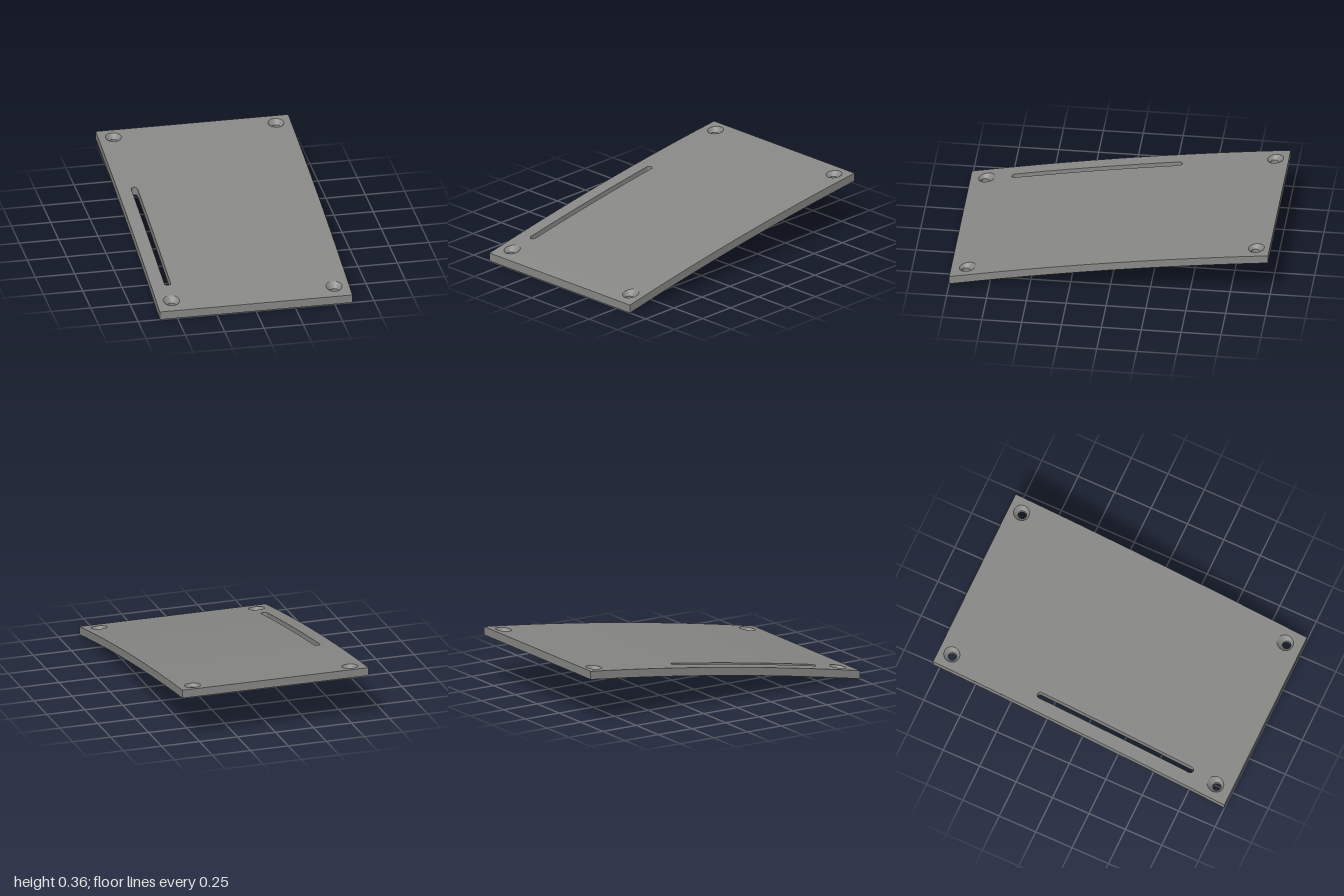
import * as THREE from 'three';
import { mergeGeometries } from 'three/addons/utils/BufferGeometryUtils.js';

const W = 0.612, T = 0.053;                       // half width, thickness
const HX = 0.517, HZ = [-0.91, 0.905];            // screw hole centres
const RIM = 0.05, BORE = 0.026;                   // countersink and bore radii
const SX = -0.506, SR = 0.02, S0 = -0.312, S1 = 0.717; // slot centre line, radius, ends

// Gently arched profile along z
const low = (z) => 0.175 - 0.1515 * z - 0.0235 * z * z;
const high = (z) => low(z) + T;
const slope = (z) => -0.1515 - 0.047 * z;

const V2 = (x, z) => new THREE.Vector2(x, z);
const onLow = (p) => new THREE.Vector3(p.x, low(p.y), p.y);
const onHigh = (p) => new THREE.Vector3(p.x, high(p.y), p.y);

// Points on an arc in the x-z plane; radius may depend on the angle
function arc(cx, cz, radius, a0, a1, n) {
  return Array.from({ length: n + 1 }, (_, i) => {
    const a = a0 + (a1 - a0) * i / n;
    const r = typeof radius === 'function' ? radius(a) : radius;
    return V2(cx + r * Math.cos(a), cz + r * Math.sin(a));
  });
}

function range(a, b, n) {
  return Array.from({ length: n + 1 }, (_, i) => a + (b - a) * i / n);
}

// Wall between a lower and an upper line of points
function strip(lower, upper) {
  const pos = [], idx = [];
  lower.forEach((p, i) => {
    pos.push(...p.toArray(), ...upper[i].toArray());
    if (i) {
      const k = 2 * i;
      idx.push(k - 2, k, k + 1, k - 2, k + 1, k - 1);
    }
  });
  const g = new THREE.BufferGeometry();
  g.setAttribute('position', new THREE.Float32BufferAttribute(pos, 3));
  g.setIndex(idx);
  g.computeVertexNormals();
  return g;
}
const wall = (pts) => strip(pts.map(onLow), pts.map(onHigh));

// Radius where the vertical 45 degree countersink meets the sloping top
function rimRadius(z0) {
  return (a) => {
    let r = RIM;
    for (let i = 0; i < 10; i++) r = RIM + high(z0 + r * Math.sin(a)) - high(z0);
    return r;
  };
}

// Plate outline cut into narrow bands so that the faces follow the arch
function bands(holeRadius) {
  const rect = (x0, x1, z0, z1) => new THREE.Shape([V2(x0, z0), V2(x1, z0), V2(x1, z1), V2(x0, z1)]);
  const rows = (x0, x1, zs) => zs.slice(1).map((z, i) => rect(x0, x1, zs[i], z));
  const ends = [rect(-W, W, -1, -0.8), rect(-W, W, 0.8, 1)];
  ends.forEach((s, i) => [-HX, HX].forEach((x) =>
    s.holes.push(new THREE.Path(arc(x, HZ[i], holeRadius(HZ[i]), 0, Math.PI * 2, 40)))));
  // Bands holding the rounded slot ends
  const back = new THREE.Shape([V2(-W, -0.36), V2(W, -0.36), V2(W, -0.2), V2(SX + SR, -0.2),
    ...arc(SX, S0, SR, Math.PI * 2, Math.PI, 16), V2(SX - SR, -0.2), V2(-W, -0.2)]);
  const front = new THREE.Shape([V2(W, 0.76), V2(-W, 0.76), V2(-W, 0.6), V2(SX - SR, 0.6),
    ...arc(SX, S1, SR, Math.PI, 0, 16), V2(SX + SR, 0.6), V2(W, 0.6)]);
  const mid = range(-0.2, 0.6, 8);
  return [...ends, back, front,
    ...rows(-W, W, range(-0.8, -0.36, 5)), ...rows(-W, W, [0.76, 0.8]),
    ...rows(-W, SX - SR, mid), ...rows(SX + SR, W, mid)];
}

// Lay the flat bands on the arched surface
function face(shapes, height, up) {
  const g = mergeGeometries(shapes.map((s) => new THREE.ShapeGeometry(s)));
  const p = g.attributes.position, n = g.attributes.normal, v = new THREE.Vector3();
  for (let i = 0; i < p.count; i++) {
    const z = p.getY(i);
    p.setXYZ(i, p.getX(i), height(z), z);
    v.set(0, 1, -slope(z)).normalize().multiplyScalar(up ? 1 : -1);
    n.setXYZ(i, v.x, v.y, v.z);
  }
  if (up) g.index.array.reverse();
  return g;
}

export function createModel() {
  const model = new THREE.Group();
  model.name = 'archedPlate';
  const grey = new THREE.MeshStandardMaterial({ color: 0x888886 });
  grey.name = 'grey';
  const add = (name, geometry) => {
    const mesh = new THREE.Mesh(geometry, grey);
    mesh.name = name;
    model.add(mesh);
  };

  // Plate faces
  add('topFace', face(bands(rimRadius), high, true));
  add('underside', face(bands(() => BORE), low, false));

  // Outer edges
  const zs = range(-1, 1, 24);
  add('rightEdge', wall(zs.map((z) => V2(-W, z))));
  add('leftEdge', wall(zs.map((z) => V2(W, -z))));
  add('frontEdge', wall([V2(-W, 1), V2(W, 1)]));
  add('backEdge', wall([V2(W, -1), V2(-W, -1)]));

  // Long slot wall
  add('slotWall', wall([
    ...arc(SX, S1, SR, 0, Math.PI, 16),
    ...range(S1, S0, 12).slice(1, -1).map((z) => V2(SX - SR, z)),
    ...arc(SX, S0, SR, Math.PI, Math.PI * 2, 16),
    ...range(S0, S1, 12).slice(1).map((z) => V2(SX + SR, z)),
  ]));

  // Countersunk screw holes
  for (const x of [-HX, HX]) for (const z of HZ) {
    const bore = arc(x, z, BORE, 0, Math.PI * 2, 40);
    const rim = arc(x, z, rimRadius(z), 0, Math.PI * 2, 40);
    const neckY = high(z) - (RIM - BORE);
    const neck = bore.map((p) => new THREE.Vector3(p.x, neckY, p.y));
    add('boreWall', strip(bore.map(onLow), neck));
    add('countersink', strip(neck, rim.map(onHigh)));
  }
  return model;
}
